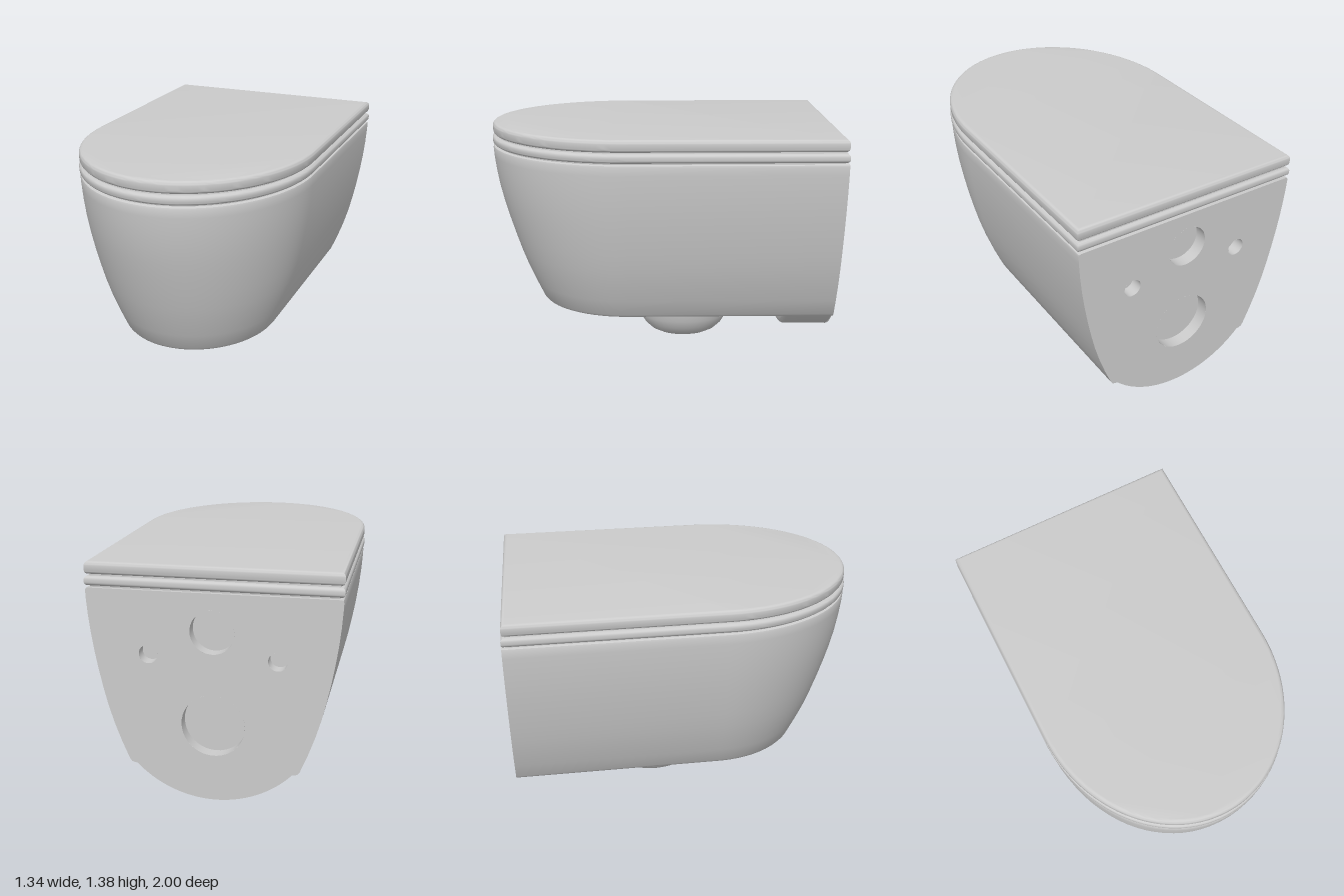
import * as THREE from 'three';
import { toCreasedNormals } from 'three/addons/utils/BufferGeometryUtils.js';

const MAT = new THREE.MeshStandardMaterial({ color: 0xcccccc, side: THREE.DoubleSide });
const CURVE_Z = 0.2; // where the straight sides turn into the rounded front

// D-shaped line: back +x corner, round the front, back -x corner
function dLine(w, front, back, n = 40) {
  const pts = [[w, back]];
  for (let i = 0; i <= n; i++) {
    const a = (i / n) * Math.PI;
    pts.push([w * Math.cos(a), CURVE_Z + (front - CURVE_Z) * Math.sin(a)]);
  }
  pts.push([-w, back]);
  return pts;
}

// Skin between equal-length rings of [x, y, z]
function loft(rings) {
  const n = rings[0].length, index = [];
  for (let r = 0; r < rings.length - 1; r++) {
    for (let i = 0; i < n - 1; i++) {
      const a = r * n + i, b = a + n;
      index.push(a, b, a + 1, a + 1, b, b + 1);
    }
  }
  const geo = new THREE.BufferGeometry();
  geo.setAttribute('position', new THREE.Float32BufferAttribute(rings.flat(2), 3));
  geo.setIndex(index);
  return toCreasedNormals(geo, 0.7);
}

// Flat D-shaped slab with rounded edges
function slab(w, front, back, y0, y1, r) {
  const pts = dLine(w - r, front - r, back + r, 64).map(([x, z]) => new THREE.Vector2(x, z));
  const geo = new THREE.ExtrudeGeometry(new THREE.Shape(pts), {
    depth: y1 - y0 - 2 * r, bevelThickness: r, bevelSize: r, bevelSegments: 5,
  });
  geo.rotateX(Math.PI / 2).translate(0, y1 - r, 0);
  return toCreasedNormals(geo, 0.7);
}

export function createModel() {
  const group = new THREE.Group();
  const add = (name, geo) => {
    const mesh = new THREE.Mesh(geo, MAT);
    mesh.name = name;
    group.add(mesh);
    return mesh;
  };

  // Bowl body: [y, half width, front z]
  const outer = [
    [0.28, 0.435, 0.705], [0.285, 0.45, 0.722], [0.3, 0.461, 0.735], [0.4, 0.502, 0.78],
    [0.5, 0.538, 0.822], [0.6, 0.568, 0.858], [0.7, 0.592, 0.89], [0.8, 0.613, 0.92],
    [0.9, 0.631, 0.947], [1.0, 0.646, 0.97], [1.1, 0.657, 0.986], [1.18, 0.663, 0.995],
    [1.225, 0.665, 0.998], [1.236, 0.662, 0.994], [1.24, 0.652, 0.985],
  ];
  const cavity = [
    [0.62, 0, 0.2], [0.61, 0.16, 0.3], [0.57, 0.27, 0.45], [0.48, 0.34, 0.56],
    [0.36, 0.37, 0.61], [0.295, 0.38, 0.63], [0.28, 0.39, 0.645],
  ];
  const ring = (back) => ([y, w, f]) => dLine(w, f, back).map(([x, z]) => [x, y, z]);
  add('bowlBody', loft([...outer, [1.24, 0, CURVE_Z]].map(ring(-1))));
  add('undersideCavity', loft([...cavity.map(ring(-0.72)), ring(-1)(outer[0])]));
  add('cavityBackWall', new THREE.BoxGeometry(0.8, 0.34, 0.08)).position.set(0, 0.46, -0.76);

  // Back plate with its curved foot and the pipe and bolt holes
  const arc = [];
  for (let i = 0; i <= 32; i++) {
    const a = (i / 32 - 0.5) * 2 * Math.asin(0.42 / 0.58);
    arc.push(new THREE.Vector2(0.58 * Math.sin(a), 0.678 - 0.58 * Math.cos(a)));
  }
  const sideR = outer.map(([y, w]) => new THREE.Vector2(w, y));
  const sideL = outer.map(([y, w]) => new THREE.Vector2(-w, y)).reverse();
  const plate = new THREE.Shape([...arc, ...sideR, ...sideL]);
  const holes = [
    ['flushHole', 0, 1.035, 0.117], ['drainHole', 0, 0.525, 0.17],
    ['boltHoleLeft', 0.34, 0.9, 0.05], ['boltHoleRight', -0.34, 0.9, 0.05],
  ];
  const depth = 0.07;
  for (const [name, x, y, r] of holes) {
    plate.holes.push(new THREE.Path().absarc(x, y, r, 0, Math.PI * 2, true));
    add(name, new THREE.CylinderGeometry(r, r, depth, 40, 1, true).rotateX(Math.PI / 2))
      .position.set(x, y, -1 + depth / 2);
    add(name + 'Floor', new THREE.CircleGeometry(r, 40).rotateY(Math.PI))
      .position.set(x, y, -1 + depth);
  }
  add('backPlate', new THREE.ShapeGeometry(plate, 40).rotateY(Math.PI)).position.z = -1;

  // Foot block below the back edge, rounded on its front side
  const r = 0.03;
  const footPts = arc.map((p) => new THREE.Vector2(p.x * 0.94, p.y + r));
  footPts.push(new THREE.Vector2(0.395, 0.31), new THREE.Vector2(-0.395, 0.31));
  const foot = new THREE.ExtrudeGeometry(new THREE.Shape(footPts), {
    depth: 0.25 - r, bevelThickness: r, bevelSize: r, bevelSegments: 5,
  });
  foot.translate(0, 0, -0.97);
  // push the rear bevel out square so that it meets the plate
  const fp = foot.attributes.position;
  for (let i = 0; i < fp.count; i++) if (fp.getZ(i) < -0.96) fp.setZ(i, -0.999);
  foot.computeVertexNormals();
  add('backFoot', toCreasedNormals(foot, 0.7));

  // Trap bulge under the bowl: [y, x radius, z radius, z centre]
  const trap = [
    [0, 0, 0, -0.14], [0.002, 0.045, 0.08, -0.14], [0.014, 0.085, 0.145, -0.14],
    [0.04, 0.12, 0.198, -0.14], [0.08, 0.149, 0.24, -0.14], [0.13, 0.17, 0.268, -0.14],
    [0.2, 0.183, 0.287, -0.14], [0.28, 0.19, 0.3, -0.14], [0.38, 0.2, 0.33, -0.12],
    [0.5, 0.23, 0.38, -0.09], [0.62, 0.28, 0.45, -0.05],
  ];
  add('trapBulge', loft(trap.map(([y, rx, rz, cz]) =>
    Array.from({ length: 49 }, (_, i) => {
      const a = (i / 48) * Math.PI * 2;
      return [rx * Math.cos(a), y, cz + rz * Math.sin(a)];
    }))));
  add('trapOutlet', new THREE.BoxGeometry(0.22, 0.44, 0.42)).position.set(0, 0.385, -0.53);

  // Seat, lid and the recessed spacer between them
  add('spacer', slab(0.645, 0.975, -0.98, 1.235, 1.32, 0.005));
  add('seat', slab(0.67, 1.0, -1, 1.248, 1.3, 0.02));
  add('lid', slab(0.668, 0.995, -0.995, 1.307, 1.376, 0.022));

  return group;
}
